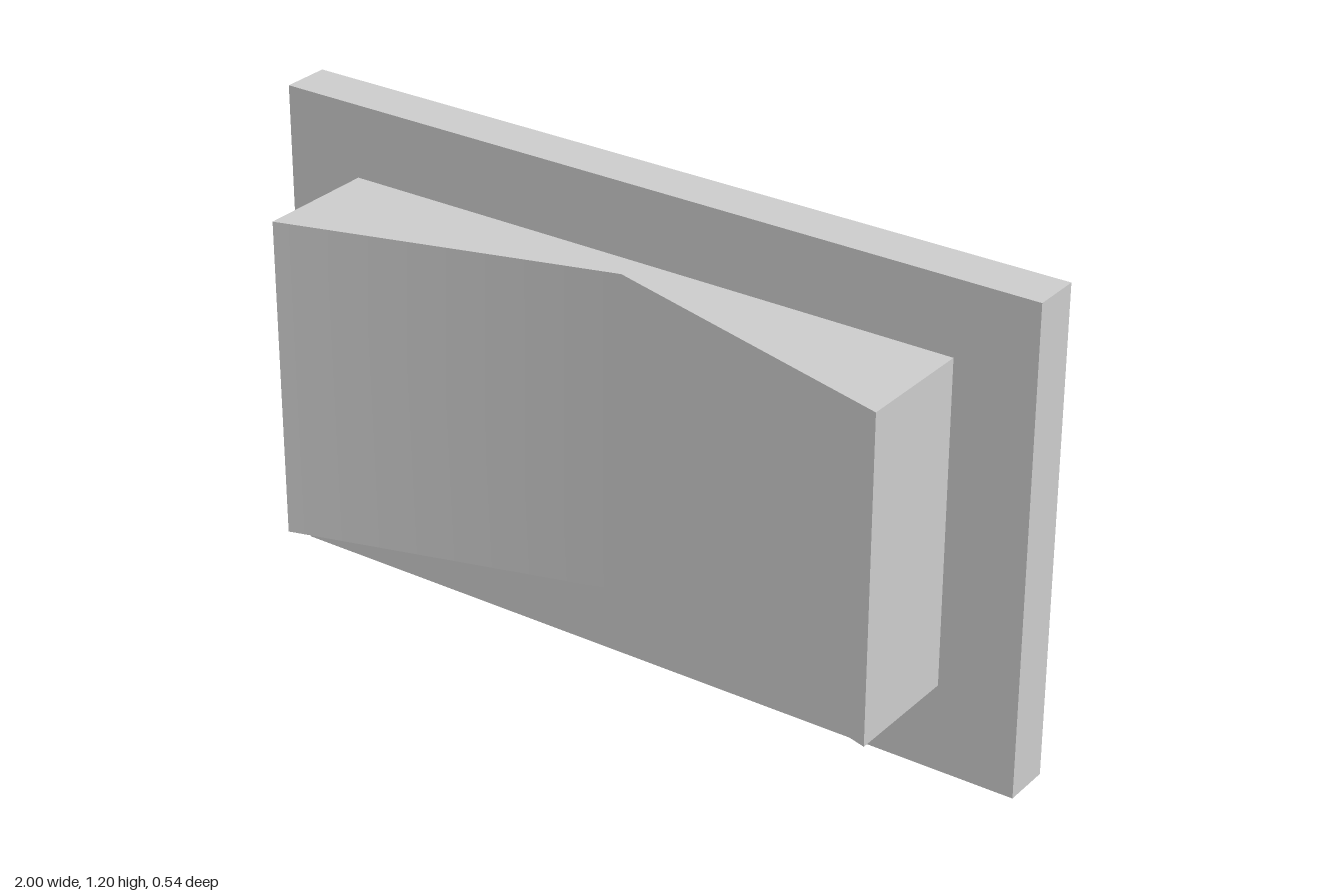
import * as THREE from 'three';
import { toCreasedNormals } from 'three/addons/utils/BufferGeometryUtils.js';

export function createModel() {
  const group = new THREE.Group();
  const material = new THREE.MeshStandardMaterial({ color: 0xcccccc });

  // Flat upright panel
  const panel = new THREE.Mesh(new THREE.BoxGeometry(2, 1.2, 0.12), material);
  panel.name = 'panel';
  panel.position.set(0, 0.6, -0.091);
  group.add(panel);

  // Bow-tie block running through the panel, narrow at its middle
  const halfWidth = 0.8, endDepth = 0.272, waistDepth = 0.04, height = 0.8;
  const outline = new THREE.Shape([
    [-halfWidth, -endDepth], [0, -waistDepth], [halfWidth, -endDepth],
    [halfWidth, endDepth], [0, waistDepth], [-halfWidth, endDepth],
  ].map(([x, y]) => new THREE.Vector2(x, y)));
  const bowGeometry = new THREE.ExtrudeGeometry(outline, { depth: height, bevelEnabled: false });
  bowGeometry.rotateX(-Math.PI / 2);

  // Soft shading across the shallow waist, sharp outer edges
  const bow = new THREE.Mesh(toCreasedNormals(bowGeometry, Math.PI / 3), material);
  bow.name = 'bowTieBlock';
  bow.position.y = 0.218;
  group.add(bow);

  return group;
}
